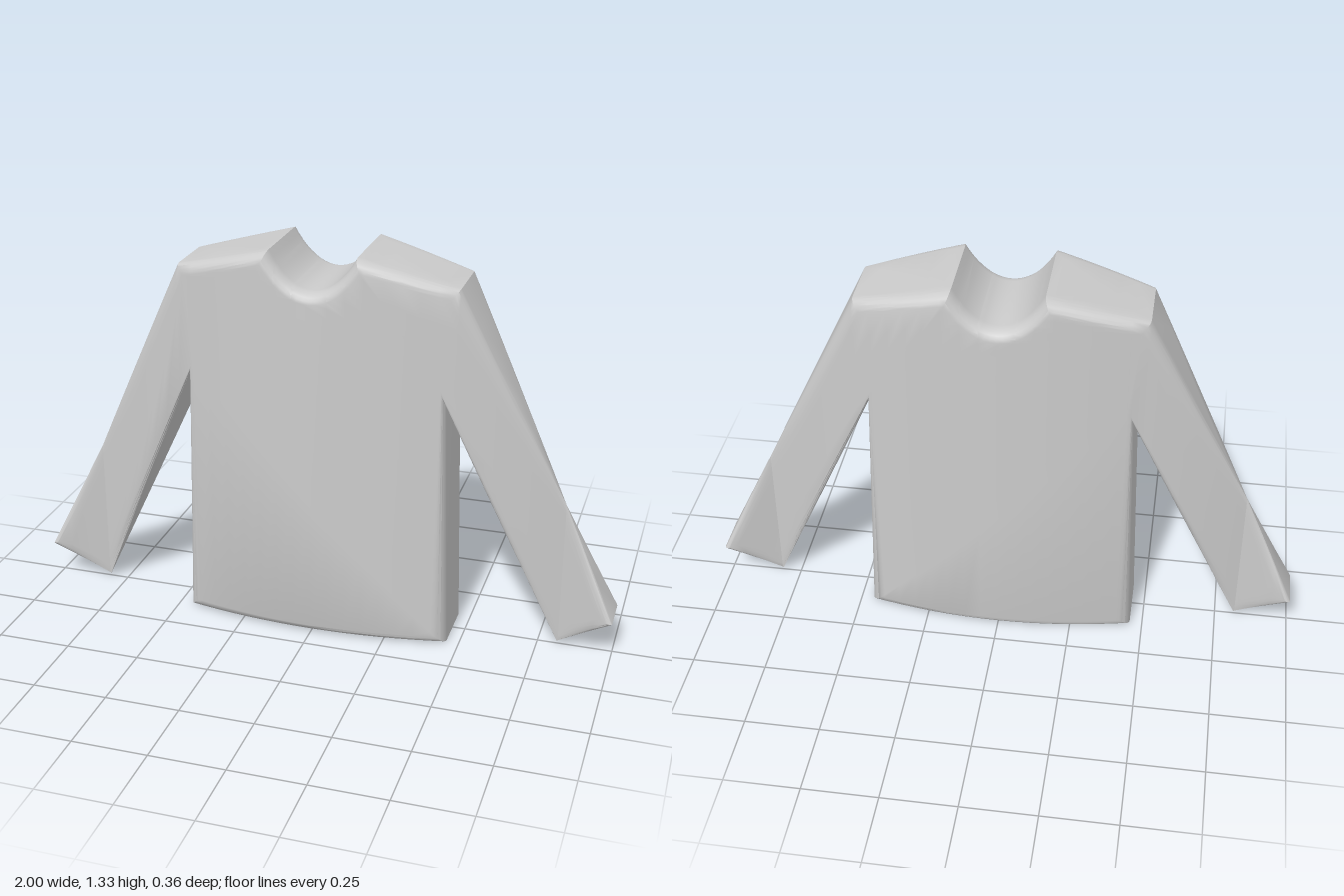
import * as THREE from 'three';
import { toCreasedNormals } from 'three/addons/utils/BufferGeometryUtils.js';

const HALF_DEPTH = 0.182; // thickness from the middle at x = 0
const PINCH = 0.818;      // x where the sleeves pinch to nothing

// Half of the outline on the +x side, from neck to hem
const SIDE = [[0.145, 1.328], [0.465, 1.245], [1, 0.14], [0.815, 0.008], [0.43, 0.865], [0.457, 0]];

function shirtShape() {
  const s = new THREE.Shape();
  s.moveTo(-0.145, 1.328);
  [...SIDE].slice(1).forEach(([x, y]) => s.lineTo(-x, y));
  [...SIDE].reverse().forEach(([x, y]) => s.lineTo(x, y));
  s.bezierCurveTo(0.06, 1.17, -0.06, 1.17, -0.145, 1.328); // neckline
  return s;
}

// Cut every triangle along the plane x = k, keeping its winding
function sliceAtX(triangles, k) {
  const out = [];
  for (const tri of triangles) {
    const d = tri.map((p) => p.x - k);
    if (Math.min(...d) > -1e-5 || Math.max(...d) < 1e-5) {
      out.push(tri);
      continue;
    }
    for (const sign of [1, -1]) {
      const poly = [];
      for (let i = 0; i < 3; i++) {
        const j = (i + 1) % 3;
        if (d[i] * sign >= 0) poly.push(tri[i]);
        if (d[i] * d[j] < 0) {
          const p = tri[i].clone().lerp(tri[j], d[i] / (d[i] - d[j]));
          p.x = k;
          poly.push(p);
        }
      }
      for (let i = 2; i < poly.length; i++) out.push([poly[0], poly[i - 1], poly[i]]);
    }
  }
  return out;
}

function shirtGeometry() {
  const bevelZ = 0.05, bevelXY = 0.035;
  const depth = 2 * (HALF_DEPTH - bevelZ);
  const flat = new THREE.ExtrudeGeometry(shirtShape(), {
    depth, curveSegments: 20, bevelEnabled: true, bevelThickness: bevelZ,
    bevelSize: bevelXY, bevelOffset: -bevelXY, bevelSegments: 5,
  }).translate(0, 0, -depth / 2).toNonIndexed();

  const pos = flat.attributes.position;
  let triangles = [];
  for (let i = 0; i < pos.count; i += 3) {
    triangles.push([0, 1, 2].map((j) => new THREE.Vector3().fromBufferAttribute(pos, i + j)));
  }
  // Slices let the flat extrusion bend; one falls exactly on each pinch
  const steps = 14;
  for (let i = -steps - 3; i <= steps + 3; i++) triangles = sliceAtX(triangles, (i / steps) * PINCH);

  // Thickness falls off as a parabola, reaches zero and opens again at the cuffs
  const points = triangles.flat().map((p) =>
    new THREE.Vector3(p.x, p.y, p.z * Math.abs(1 - (p.x / PINCH) ** 2)));
  const geometry = new THREE.BufferGeometry().setFromPoints(points);
  return toCreasedNormals(geometry, 0.6);
}

export function createModel() {
  const group = new THREE.Group();
  group.name = 'longSleeveShirt';
  const material = new THREE.MeshStandardMaterial({ color: 0xcccccc, side: THREE.DoubleSide });
  const shirt = new THREE.Mesh(shirtGeometry(), material);
  shirt.name = 'shirtBodyAndSleeves';
  group.add(shirt);
  return group;
}
